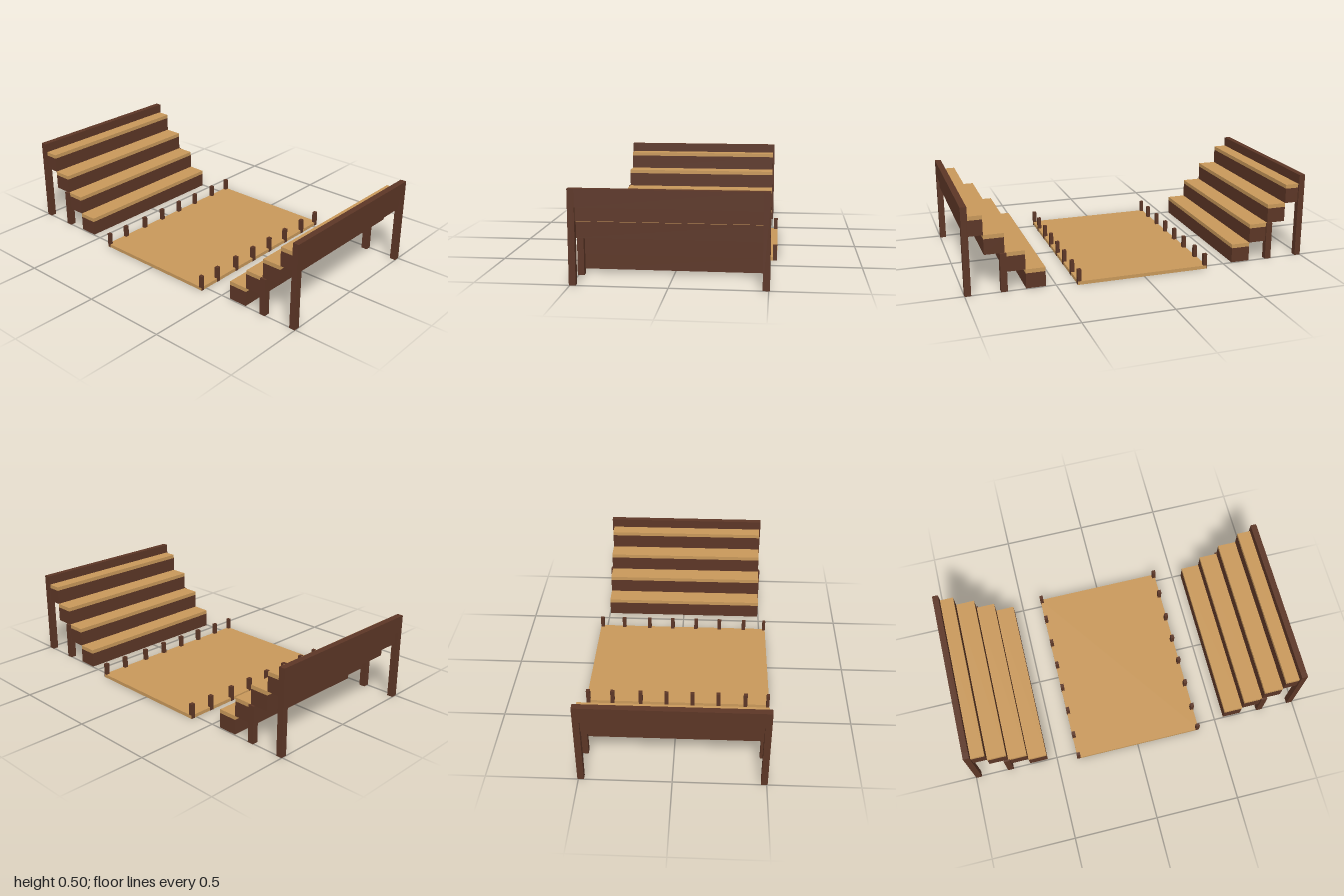
import * as THREE from 'three';

const wood = new THREE.MeshStandardMaterial({ color: 0xc8985a, flatShading: true });
const darkWood = new THREE.MeshStandardMaterial({ color: 0x5c3626, flatShading: true });

// Box given by its lower and upper limits on each axis
function box(parent, name, material, [x0, x1], [y0, y1], [z0, z1]) {
  const mesh = new THREE.Mesh(new THREE.BoxGeometry(x1 - x0, y1 - y0, z1 - z0), material);
  mesh.position.set((x0 + x1) / 2, (y0 + y1) / 2, (z0 + z1) / 2);
  mesh.name = name;
  parent.add(mesh);
}

// Stepped seating whose steps rise towards +z
function createStand(name) {
  const stand = new THREE.Group();
  stand.name = name;
  const step = 0.11, plank = 0.023, inner = 0.556, half = 0.495;

  // Four stepped tiers, each with a light seat plank on top
  for (let i = 0; i < 4; i++) {
    const y = i * step;
    const z = [inner + i * step, Math.min(inner + (i + 1) * step, 0.985)];
    box(stand, 'tierBase', darkWood, [-half, half], [y, y + step - plank], z);
    box(stand, 'seatPlank', wood, [-half, half], [y + step - plank, y + step], z);
  }

  // Posts at both ends: tall at the back, short under the third tier
  for (const x of [[-0.505, -0.47], [0.47, 0.505]]) {
    box(stand, 'rearPost', darkWood, x, [0, 0.495], [0.965, 1]);
    box(stand, 'middlePost', darkWood, x, [0, 0.219], [0.768, 0.804]);
  }

  // Back rail between the tall posts
  box(stand, 'backRail', darkWood, [-0.47, 0.47], [0.4, 0.495], [0.965, 1]);
  return stand;
}

export function createModel() {
  const model = new THREE.Group();
  model.name = 'arena';

  // Two facing stands
  const rearStand = createStand('rearStand');
  rearStand.rotation.y = Math.PI;
  model.add(createStand('frontStand'), rearStand);

  // Central floor
  box(model, 'floor', wood, [-0.538, 0.538], [0, 0.02], [-0.378, 0.386]);

  // Short posts along the two long edges of the floor
  const postX = [-0.529, -0.398, -0.24, -0.087, 0.065, 0.217, 0.383, 0.526];
  for (const z of [[-0.38, -0.359], [0.367, 0.388]]) {
    postX.forEach((x, i) => {
      const w = i === 0 ? 0.009 : 0.0115;
      box(model, 'edgePost', darkWood, [x - w, x + w], [0, 0.088], z);
    });
  }
  return model;
}
